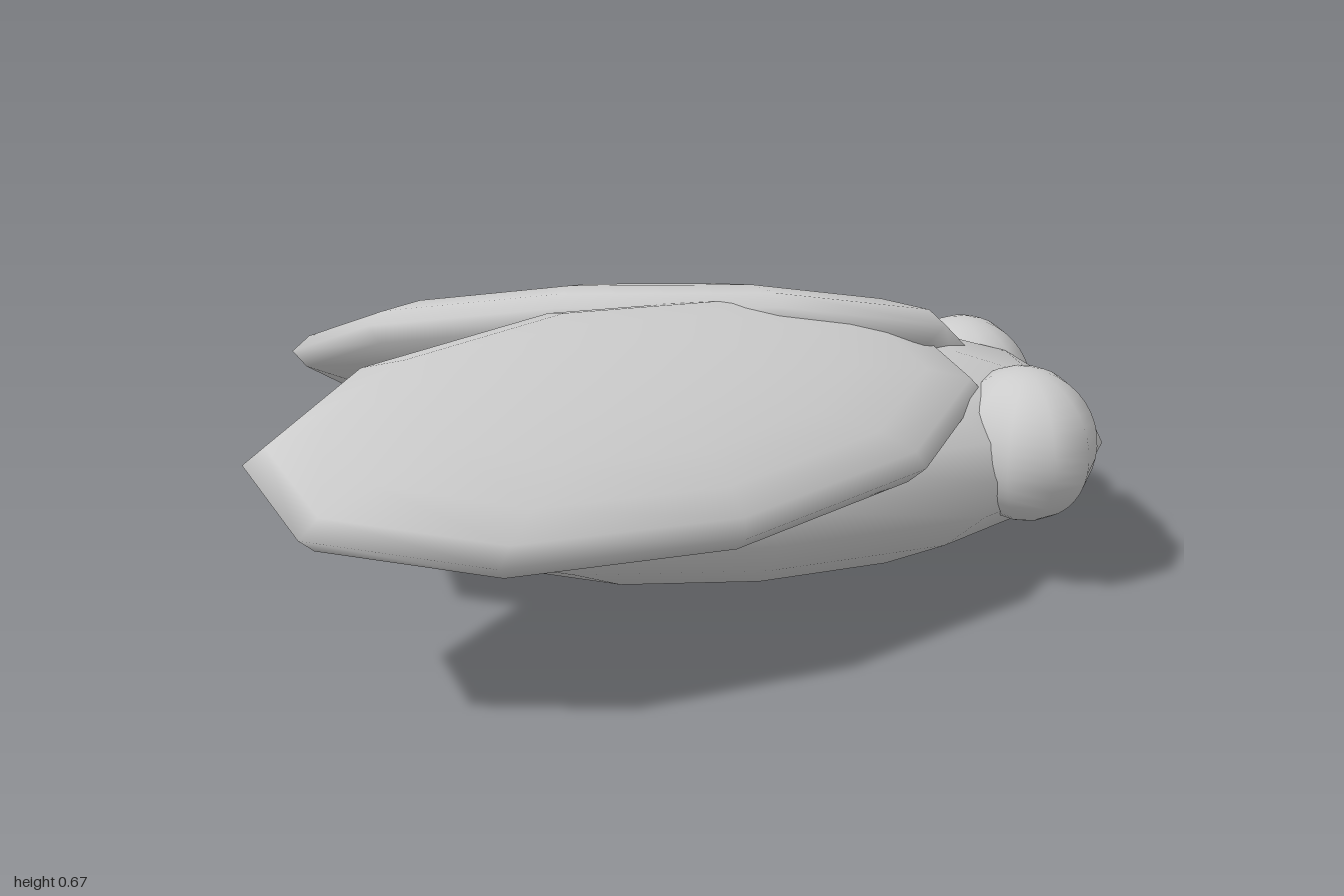
import * as THREE from 'three';

const material = new THREE.MeshStandardMaterial({ color: 0xcccccc });

// Ten-sided ellipsoid: long and wide are half-axis vectors, thick is the half-thickness across them.
function ellipsoid(name, center, long, wide, thick, rings = 10) {
  const x = new THREE.Vector3(...long);
  const z = new THREE.Vector3(...wide);
  const y = z.clone().cross(x).normalize().multiplyScalar(thick);
  const geometry = new THREE.SphereGeometry(1, 10, rings);
  geometry.rotateY(Math.PI / 10); // flat side towards the long axis
  geometry.applyMatrix4(new THREE.Matrix4().makeBasis(x, y, z));
  const mesh = new THREE.Mesh(geometry, material);
  mesh.name = name;
  mesh.position.set(...center);
  return mesh;
}

export function createModel() {
  const group = new THREE.Group();
  group.name = 'fly';

  // Body, with the head towards +x
  group.add(ellipsoid('body', [0.145, 0.285, 0.05], [0.9, 0, 0], [0, 0, 0.42], 0.285));

  // Pair of bulging eyes
  for (const side of [-1, 1]) {
    group.add(ellipsoid(side < 0 ? 'rightSideEye' : 'leftSideEye',
      [0.775, 0.328, 0.044 + side * 0.215], [0.163, 0, 0], [0, 0, 0.2], 0.177, 20));
  }

  // Flat wings swept backwards, each with its own tilt
  group.add(ellipsoid('nearWing', [-0.16, 0.49, 0.425],
    [-0.836, 0, 0.324], [0.146, -0.13, 0.372], 0.13));
  group.add(ellipsoid('farWing', [-0.04, 0.41, -0.38],
    [-0.752, -0.124, -0.473], [0.21, -0.205, -0.3], 0.13));

  return group;
}
